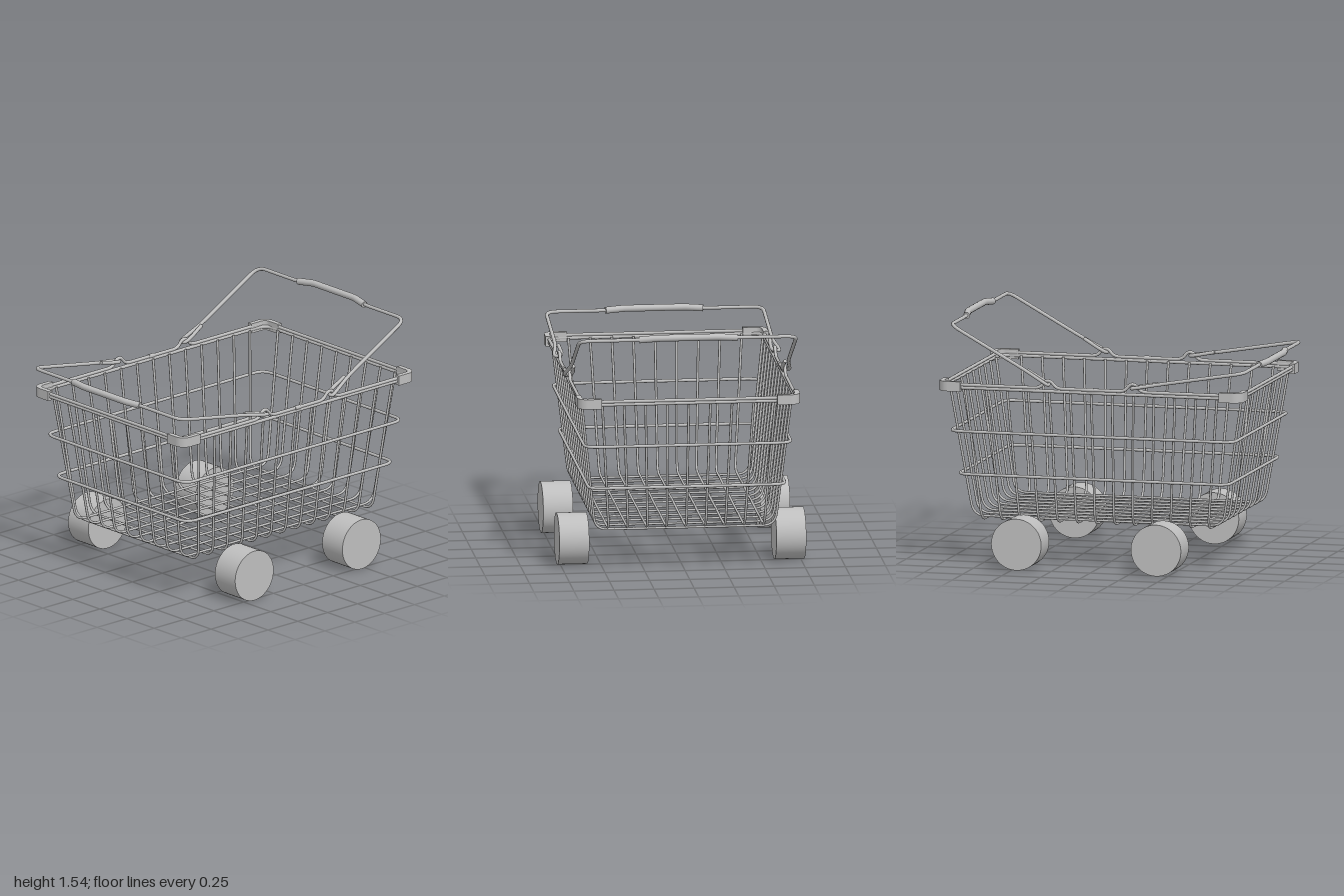
import * as THREE from 'three';
import { mergeGeometries } from 'three/addons/utils/BufferGeometryUtils.js';

const V = (x, y, z) => new THREE.Vector3(x, y, z);
const CZ = -0.02; // centre of the basket along z

// Curve that visits each given point exactly, keeping straight runs cheap
class Polyline extends THREE.Curve {
  constructor(points) { super(); this.p = points; }
  getPointAt(t) { return this.p[Math.round(t * (this.p.length - 1))].clone(); }
  getPoint(t) { return this.getPointAt(t); }
  getTangentAt(t) {
    const n = this.p.length - 1, i = Math.round(t * n);
    const closed = this.p[0].distanceTo(this.p[n]) < 1e-6;
    const a = this.p[i > 0 ? i - 1 : closed ? n - 1 : 0];
    const b = this.p[i < n ? i + 1 : closed ? 1 : n];
    const d1 = this.p[i].clone().sub(a).normalize();
    return d1.add(b.clone().sub(this.p[i]).normalize()).normalize();
  }
}

// Round the corners of a path
function rounded(points, r, closed = false) {
  const out = [], n = points.length;
  points.forEach((p, i) => {
    if (!closed && (i === 0 || i === n - 1)) { out.push(p); return; }
    const a = points[(i + n - 1) % n], b = points[(i + 1) % n];
    const toward = (q) => p.clone().add(q.clone().sub(p).setLength(Math.min(r, q.distanceTo(p) * 0.45)));
    out.push(...new THREE.QuadraticBezierCurve3(toward(a), p, toward(b)).getPoints(6));
  });
  if (closed) out.push(out[0].clone());
  return out;
}

// Round wire along a path, with flat ends when open
function wire(points, radius, bend, closed = false, sides = 10) {
  const path = rounded(points, bend, closed), curve = new Polyline(path);
  const parts = [new THREE.TubeGeometry(curve, path.length - 1, radius, sides, closed)];
  if (!closed) for (const end of [0, 1]) {
    const dir = curve.getTangentAt(end).multiplyScalar(end ? 1 : -1);
    const disc = new THREE.CircleGeometry(radius, sides);
    disc.applyQuaternion(new THREE.Quaternion().setFromUnitVectors(V(0, 0, 1), dir));
    const c = curve.getPointAt(end);
    parts.push(disc.translate(c.x, c.y, c.z));
  }
  return mergeGeometries(parts);
}

export function createModel() {
  const model = new THREE.Group();
  const metal = new THREE.MeshStandardMaterial({ color: 0xbebebe });
  metal.name = 'grey metal';
  const add = (name, geometry, parent = model) => {
    const mesh = new THREE.Mesh(geometry, metal);
    mesh.name = name;
    parent.add(mesh);
    return mesh;
  };

  // Basket wires: U shapes in both directions, flaring towards the top
  const TOP = 1.12, FLARE = 1.115, STEP = 0.1212;
  const lengthwise = [], crosswise = [];
  for (let i = -4; i <= 4; i++) {
    const x = i * STEP, y = 0.29;
    lengthwise.push(wire([V(x * FLARE, TOP, CZ + 0.94), V(x, y, CZ + 0.802),
      V(x, y, CZ - 0.802), V(x * FLARE, TOP, CZ - 0.94)], 0.008, 0.075, false, 8));
  }
  for (let i = -6; i <= 6; i++) {
    const z = i * STEP, y = 0.276;
    crosswise.push(wire([V(0.657, TOP, CZ + z * FLARE), V(0.561, y, CZ + z),
      V(-0.561, y, CZ + z), V(-0.657, TOP, CZ + z * FLARE)], 0.008, 0.075, false, 8));
  }
  add('lengthwiseWires', mergeGeometries(lengthwise));
  add('crosswiseWires', mergeGeometries(crosswise));

  // Horizontal hoops around the basket and the lower rim
  const hoop = (hx, y, hz, r) => wire([V(hx, y, CZ + hz), V(hx, y, CZ - hz),
    V(-hx, y, CZ - hz), V(-hx, y, CZ + hz)], r, 0.08, true);
  add('lowerHoop', hoop(0.613, 0.566, 0.868, 0.01));
  add('middleHoop', hoop(0.645, 0.839, 0.912, 0.01));
  add('lowerRim', hoop(0.67, 1.117, 0.955, 0.011));

  // Upper rim, bent up into a hump at each handle pivot
  const RX = 0.672, RY = 1.136, RZ = 0.957;
  const side = [V(RX, RY, CZ + RZ)];
  for (const c of [0.272, -0.272]) {
    for (const [dz, dy] of [[0.054, 0], [0.018, 0.047], [-0.018, 0.047], [-0.054, 0]]) {
      side.push(V(RX, RY + dy, CZ + c + dz));
    }
  }
  side.push(V(RX, RY, CZ - RZ));
  const opposite = side.map((p) => V(-p.x, p.y, p.z)).reverse();
  add('upperRim', wire([...side, ...opposite], 0.0105, 0.04, true));

  // Sleeves joining the rim halfway along each side
  for (const s of [1, -1]) {
    const sleeve = new THREE.CylinderGeometry(0.0135, 0.0135, 0.045, 12).rotateX(Math.PI / 2);
    add('rimSleeve', sleeve.translate(s * RX, RY, CZ));
  }

  // Corner caps wrapping the outside of the rim
  const ARM = 0.147, T = 0.032, R = 0.065;
  const outline = new THREE.Shape();
  outline.moveTo(-ARM, 0);
  outline.lineTo(-ARM, -T);
  outline.lineTo(-R, -T);
  outline.absarc(-R, -R, R - T, Math.PI / 2, 0, true);
  outline.lineTo(-T, -ARM);
  outline.lineTo(0, -ARM);
  outline.lineTo(0, -R);
  outline.absarc(-R, -R, R, 0, Math.PI / 2, false);
  const capGeometry = new THREE.ExtrudeGeometry(outline, { depth: 0.062, bevelEnabled: false, curveSegments: 8 });
  capGeometry.rotateX(-Math.PI / 2);
  [[1, -1], [-1, -1], [-1, 1], [1, 1]].forEach(([sx, sz], i) => {
    const cap = add('cornerCap', capGeometry);
    cap.rotation.y = i * Math.PI / 2;
    cap.position.set(sx * 0.695, 1.094, CZ + sz * 0.978);
  });

  // Swinging handles: hooked wire with a bowed grip
  const LEN = 0.722;
  const half = [V(0.66, 0.004, 0.165), V(0.65, 0, 0.01), V(0.7, 0, -0.005), V(0.702, 0, 0.03),
    V(0.677, 0, 0.18), V(0.677, 0, LEN), V(0.29, 0, LEN), V(0.2, 0, LEN + 0.024)];
  const handlePath = [...half, ...half.map((p) => V(-p.x, p.y, p.z)).reverse()];
  const handleWire = wire(handlePath, 0.0115, 0.07);
  const gripGeometry = wire([V(-0.305, 0, LEN), V(-0.19, 0, LEN + 0.024),
    V(0.19, 0, LEN + 0.024), V(0.305, 0, LEN)], 0.021, 0.02, false, 16);
  const handle = (name, z, turn, lift) => {
    const group = new THREE.Group();
    group.name = name;
    add('handleWire', handleWire, group);
    add('handleGrip', gripGeometry, group);
    group.rotation.set(-lift, turn, 0, 'YXZ');
    group.position.set(0, 1.16, z);
    model.add(group);
  };
  handle('frontHandle', CZ + 0.27, 0, 0.167);
  handle('backHandle', CZ - 0.266, Math.PI, 0.507);

  // Wheels
  const wheelGeometry = new THREE.CylinderGeometry(0.161, 0.161, 0.186, 48).rotateZ(Math.PI / 2);
  for (const sx of [1, -1]) for (const z of [0.428, -0.47]) {
    add(z > 0 ? 'frontWheel' : 'backWheel', wheelGeometry).position.set(sx * 0.677, 0.161, z);
  }
  return model;
}
